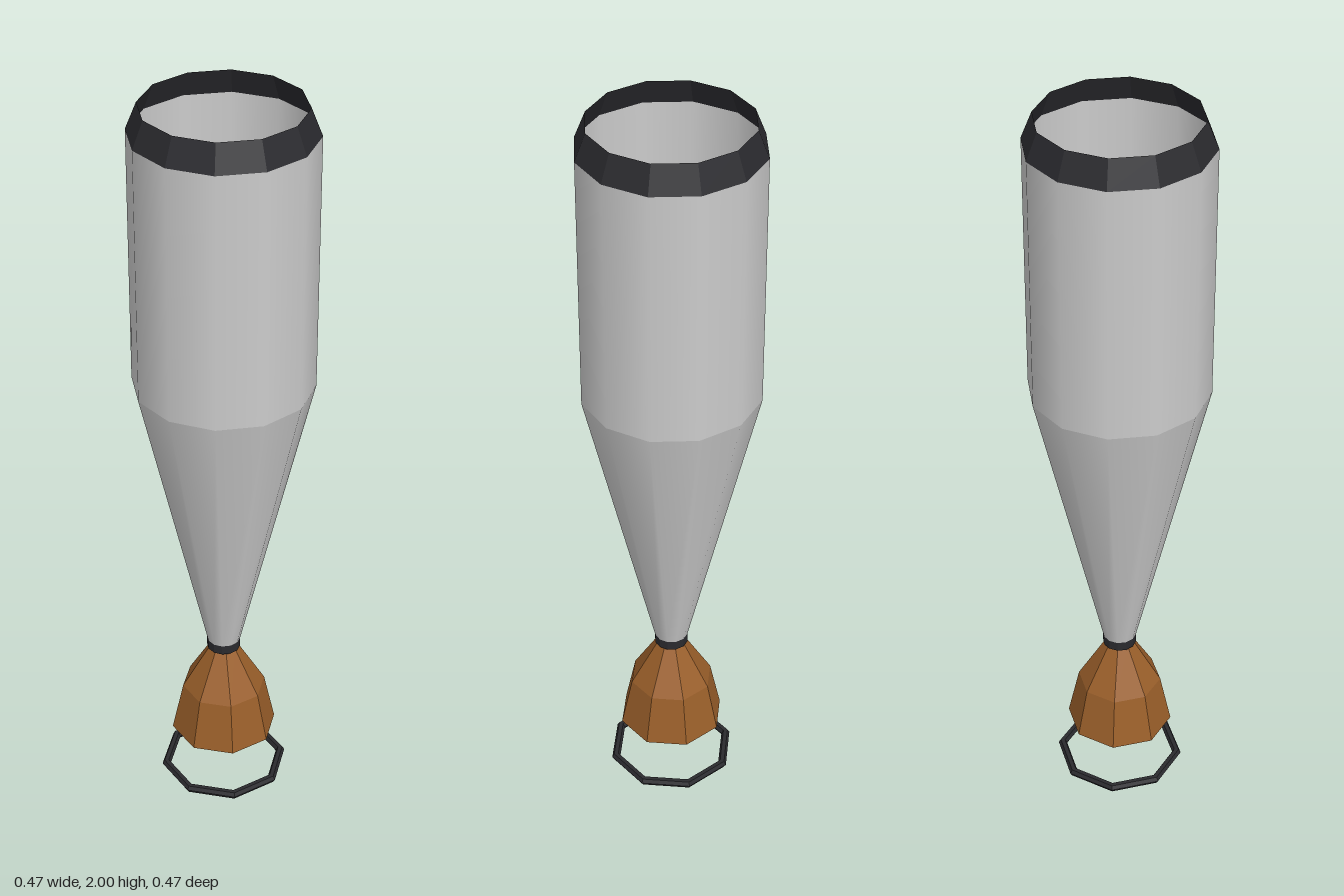
import * as THREE from 'three';

const material = (color, flatShading) =>
  new THREE.MeshStandardMaterial({ color, flatShading, side: THREE.DoubleSide });

export function createModel() {
  const model = new THREE.Group();
  const grey = material(0xcccccc, false);
  const dark = material(0x2a2a2e, true);
  const copper = material(0x9a5f2a, true);

  // Round section between two heights
  function section(name, mat, sides, y0, r0, y1, r1, open = true) {
    const geometry = new THREE.CylinderGeometry(r1, r0, y1 - y0, sides, 1, open);
    const mesh = new THREE.Mesh(geometry, mat);
    mesh.name = name;
    mesh.position.y = (y0 + y1) / 2;
    model.add(mesh);
  }

  // Hollow body, open at the top
  section('topRim', dark, 12, 1.93, 0.233, 2, 0.205);
  section('bodyTube', grey, 12, 1.25, 0.233, 1.93, 0.233);
  section('bodyCone', grey, 12, 0.44, 0.045, 1.25, 0.233);
  section('collar', dark, 12, 0.413, 0.045, 0.44, 0.045, false);

  // Eight-sided bell nozzle, open below
  section('nozzleUpper', copper, 8, 0.285, 0.113, 0.413, 0.038);
  section('nozzleLower', copper, 8, 0.145, 0.143, 0.285, 0.113);

  // Loose ring below the nozzle
  const ring = new THREE.Mesh(new THREE.TorusGeometry(0.162, 0.012, 6, 8), dark);
  ring.name = 'baseRing';
  ring.rotation.x = Math.PI / 2;
  ring.position.y = 0.0104;
  ring.position.y += 0.003;
  model.add(ring);

  return model;
}
